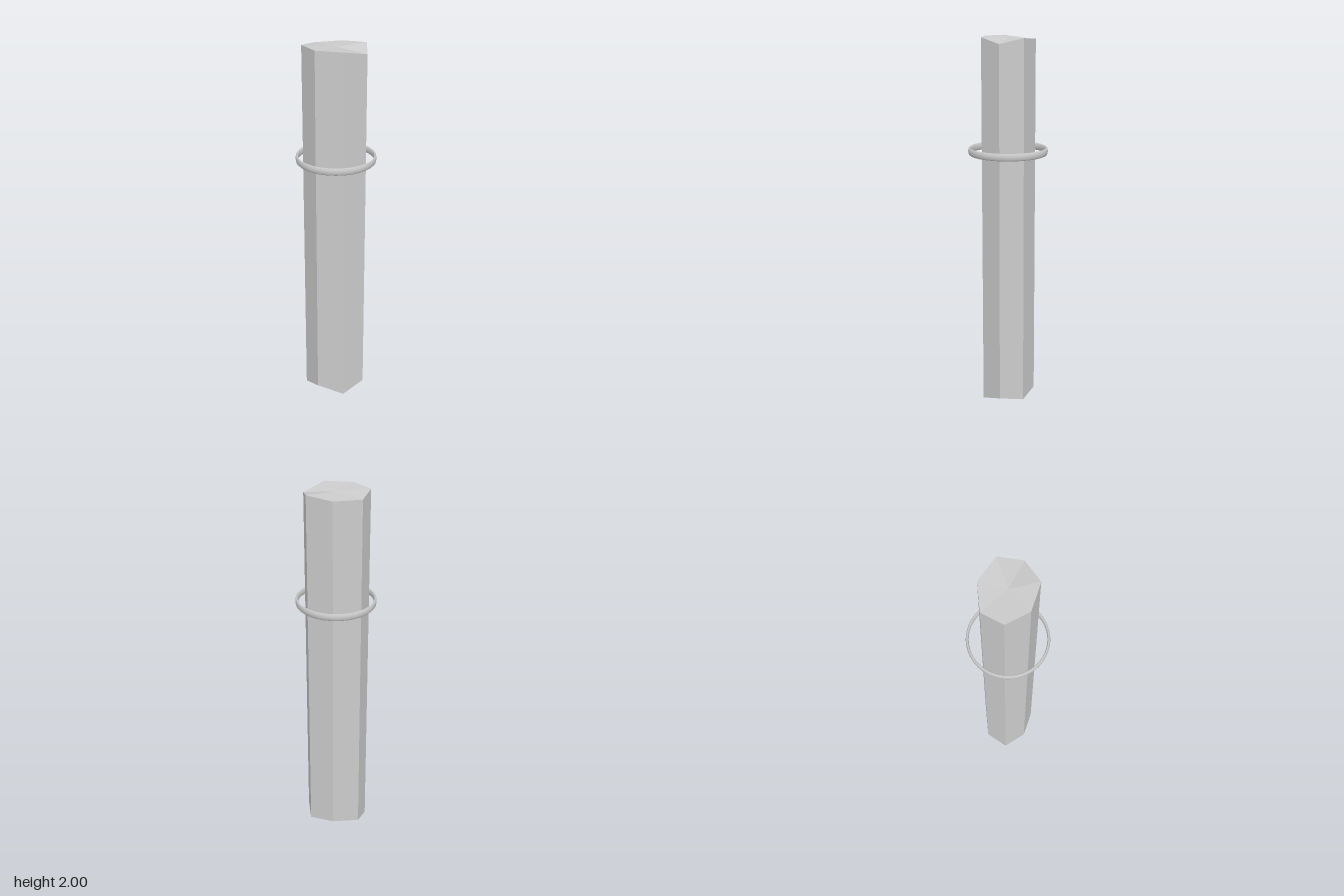
import * as THREE from 'three';

// corners of the seven-sided shaft: [x, z, bottom y, top y]
const CORNERS = [
  [0.165, 0.03, 0.055, 1.972],
  [0.073, 0.131, 0.013, 2.0],
  [-0.077, 0.127, 0.045, 2.0],
  [-0.169, 0.033, 0.0, 2.0],
  [-0.138, -0.091, 0.037, 1.985],
  [0.002, -0.146, 0.06, 1.99],
  [0.137, -0.096, 0.042, 2.0],
];

// rough-cut prism with uneven ends
function shaftGeometry() {
  const n = CORNERS.length;
  const bottom = CORNERS.map(([x, z, y]) => [x, y, z]);
  // the shaft tapers very slightly towards the back of the top
  const top = CORNERS.map(([x, z, , y]) => [x, y, z < 0 ? z + 0.003 : z]);
  const mean = (ring) => [0, 1, 2].map((k) => ring.reduce((s, p) => s + p[k], 0) / n);
  const bottomMid = mean(bottom);
  const topMid = mean(top);
  const pos = [];
  for (let i = 0; i < n; i++) {
    const j = (i + 1) % n;
    pos.push(...bottom[i], ...top[i], ...top[j]);
    pos.push(...bottom[i], ...top[j], ...bottom[j]);
    pos.push(...topMid, ...top[j], ...top[i]);
    pos.push(...bottomMid, ...bottom[i], ...bottom[j]);
  }
  const geometry = new THREE.BufferGeometry();
  geometry.setAttribute('position', new THREE.Float32BufferAttribute(pos, 3));
  geometry.computeVertexNormals();
  return geometry;
}

export function createModel() {
  const group = new THREE.Group();
  group.name = 'ringedColumn';

  const shaft = new THREE.Mesh(
    shaftGeometry(),
    new THREE.MeshStandardMaterial({ color: 0xcccccc, flatShading: true })
  );
  shaft.name = 'shaft';
  group.add(shaft);

  // floating band, taller than it is thick
  const ringGeometry = new THREE.TorusGeometry(0.2035, 0.0075, 8, 64);
  ringGeometry.rotateX(Math.PI / 2);
  ringGeometry.scale(1, 2.6, 1);
  const ring = new THREE.Mesh(ringGeometry, new THREE.MeshStandardMaterial({ color: 0xcccccc }));
  ring.name = 'ring';
  ring.position.y = 1.408;
  group.add(ring);

  return group;
}
